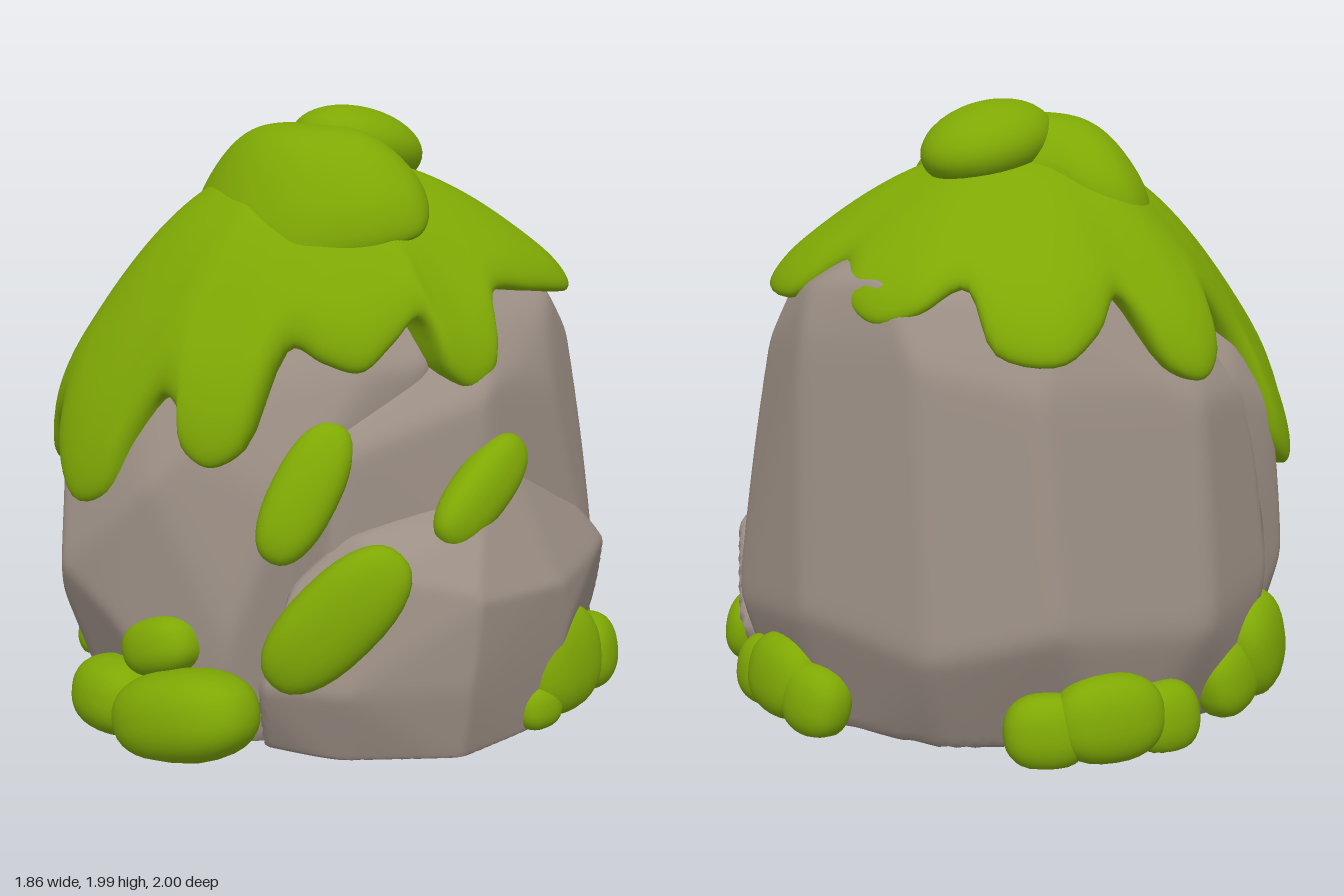
import * as THREE from 'three';
import { mergeVertices } from 'three/addons/utils/BufferGeometryUtils.js';
import { ConvexGeometry } from 'three/addons/geometries/ConvexGeometry.js';

const V = (a) => new THREE.Vector3(...a);

// Drop normals and uvs so that seams close, ready for reshaping
function welded(geo) {
  geo.deleteAttribute('normal');
  geo.deleteAttribute('uv');
  return mergeVertices(geo);
}

// Rock: a sphere pressed against the slightly shifted planes of a coarse hull, with softly worn edges
function rockGeometry(points) {
  const pts = points.map(V);
  const centre = pts.reduce((s, p) => s.add(p), new THREE.Vector3()).divideScalar(pts.length);
  const hull = new ConvexGeometry(pts).getAttribute('position');
  const planes = [];
  for (let i = 0; i < hull.count; i += 3) {
    const [a, b, c] = [0, 1, 2].map((k) => new THREE.Vector3().fromBufferAttribute(hull, i + k).sub(centre));
    const n = b.sub(a).cross(c.sub(a)).normalize();
    const d = n.dot(a) * (1 + 0.022 * Math.sin(i * 12.9));
    if (d > 0.01) planes.push(n.divideScalar(d));
  }
  const geo = welded(new THREE.IcosahedronGeometry(1, 34));
  const pos = geo.getAttribute('position');
  const p = new THREE.Vector3();
  for (let i = 0; i < pos.count; i++) {
    p.fromBufferAttribute(pos, i).normalize();
    let sum = 0;
    for (const n of planes) sum += Math.max(0, n.dot(p)) ** 100;
    p.multiplyScalar(1.015 * sum ** (-1 / 100)).add(centre);
    pos.setXYZ(i, p.x, Math.max(0, p.y), p.z);
  }
  geo.computeVertexNormals();
  return geo;
}

// Moss cap: a dome from an apex to a lobed rim, which swells and then rolls inward at the lip
function capGeometry(apex, rim, lip, power) {
  const curve = new THREE.CatmullRomCurve3(rim.map(V), true, 'centripetal');
  const cols = 180, rows = 40, top = V(apex);
  const edge = Array.from({ length: cols }, (_, i) => curve.getPoint(i / cols));
  const span = Math.round((cols / rim.length) * 1.5);
  const soft = edge.map((_, i) => {
    const s = new THREE.Vector3();
    for (let k = -span; k <= span; k++) s.add(edge[(i + k + cols) % cols]);
    return s.divideScalar(2 * span + 1);
  });
  const position = [], index = [];
  const r = new THREE.Vector3(), inward = new THREE.Vector3();
  for (let j = 0; j <= rows + 1; j++) {
    const s = Math.sin((Math.min(j, rows) / rows) * Math.PI / 2);
    for (let i = 0; i < cols; i++) {
      r.lerpVectors(soft[i], edge[i], s * s);
      const u = Math.max(0, (s - 0.84) / 0.16);
      const roll = j > rows ? lip * 2.5 : lip * (1 - Math.sqrt(Math.max(0, 1 - u * u)));
      const inset = roll - 0.06 * s ** 4;
      inward.set(top.x - r.x, 0, top.z - r.z).normalize();
      position.push(
        top.x + (r.x - top.x) * s + inward.x * inset,
        top.y + (r.y - top.y) * s ** power,
        top.z + (r.z - top.z) * s + inward.z * inset,
      );
      if (j <= rows) {
        const a = j * cols + i, b = j * cols + (i + 1) % cols;
        index.push(a, a + cols, b, b, a + cols, b + cols);
      }
    }
  }
  let geo = new THREE.BufferGeometry();
  geo.setAttribute('position', new THREE.Float32BufferAttribute(position, 3));
  geo.setIndex(index);
  geo = mergeVertices(geo);
  geo.computeVertexNormals();
  return geo;
}

// Moss pad: a plump ellipsoid stretched between two points and flattened along its outward side
function padGeometry(from, to, width, depth) {
  const a = V(from), b = V(to);
  const mid = a.clone().add(b).multiplyScalar(0.5);
  const u = b.clone().sub(a);
  const half = u.length() / 2;
  u.normalize();
  const out = new THREE.Vector3(mid.x, 0.15, mid.z);
  out.addScaledVector(u, -out.dot(u)).normalize();
  const side = new THREE.Vector3().crossVectors(u, out);
  const geo = welded(new THREE.SphereGeometry(1, 32, 20));
  const pos = geo.getAttribute('position');
  const plump = (c) => Math.sign(c) * Math.abs(c) ** 0.85;
  for (let i = 0; i < pos.count; i++) pos.setXYZ(i, plump(pos.getX(i)), plump(pos.getY(i)), plump(pos.getZ(i)));
  geo.scale(half, depth, width);
  geo.applyMatrix4(new THREE.Matrix4().makeBasis(u, out, side).setPosition(mid));
  for (let i = 0; i < pos.count; i++) pos.setY(i, Math.max(0, pos.getY(i)));
  geo.computeVertexNormals();
  return geo;
}

export function createModel() {
  const stone = new THREE.MeshStandardMaterial({ color: 0x9c8f85 });
  stone.name = 'stone';
  const moss = new THREE.MeshStandardMaterial({ color: 0x7fa804 });
  moss.name = 'moss';
  const group = new THREE.Group();
  group.name = 'mossyBoulder';
  const add = (name, geo, mat) => {
    const mesh = new THREE.Mesh(geo, mat);
    mesh.name = name;
    group.add(mesh);
  };

  // Three boulders leaning together
  add('frontRock', rockGeometry([
    [-0.6, -0.03, 0.48], [-0.27, -0.03, 0.7], [0.22, -0.03, 0.72], [0.35, -0.03, 0.52], [-0.75, -0.03, 0.1], [-0.6, -0.03, -0.3],
    [-0.79, 0.5, 0.45], [-0.55, 0.36, 0.7], [-0.3, 0.52, 0.9], [0.02, 0.3, 0.84], [0.3, 0.36, 0.72], [-0.83, 0.42, 0.12],
    [-0.78, 0.95, 0.38], [-0.42, 0.9, 0.78], [0.08, 0.82, 0.81], [0.4, 0.8, 0.57], [-0.77, 1.05, 0.1],
    [-0.68, 1.22, 0.26], [-0.22, 1.25, 0.63], [0.2, 1.15, 0.6], [0.48, 1.24, 0.28], [0.58, 1.22, 0.06],
    [-0.38, 1.56, 0.18], [0.25, 1.6, 0.18], [0, 1.7, 0], [-0.4, 1.5, -0.3], [0.42, 1.4, -0.1],
    [-0.7, 0.5, -0.3], [0.3, 0.4, -0.3], [0.35, -0.03, 0], [-0.5, 1.2, -0.4],
  ]), stone);
  add('backRock', rockGeometry([
    [-0.72, -0.03, -0.4], [-0.78, -0.03, 0.1], [-0.35, -0.03, -0.74], [0.1, -0.03, -0.84], [0.48, -0.03, -0.7], [0.72, -0.03, -0.3], [0.55, -0.03, 0.3],
    [-0.91, 0.36, -0.22], [-0.82, 0.42, 0.28], [-0.73, 0.4, -0.64], [-0.34, 0.32, -0.91], [0.1, 0.4, -0.97],
    [0.5, 0.36, -0.85], [0.72, 0.42, -0.58], [0.78, 0.4, 0], [0.52, 0.6, 0.44],
    [-0.81, 1.1, -0.15], [-0.72, 1.08, 0.26], [-0.63, 1.12, -0.6], [-0.24, 1.24, -0.84], [0.2, 1.2, -0.86],
    [0.5, 1.2, -0.7], [0.7, 0.97, -0.42], [0.74, 1.1, -0.02], [0.53, 0.95, 0.4],
    [-0.54, 1.42, -0.48], [-0.13, 1.44, -0.78], [0.25, 1.43, -0.75], [0.53, 1.39, -0.53], [0.58, 1.35, -0.1], [-0.58, 1.38, 0],
    [-0.3, 1.62, -0.28], [0.28, 1.62, -0.28], [0, 1.68, 0.1], [-0.08, 1.61, -0.48],
  ]), stone);
  add('lowSideRock', rockGeometry([
    [0.35, -0.03, 0.58], [0.6, -0.03, 0.5], [0.86, -0.03, 0.2], [0.86, -0.03, -0.2], [0.56, -0.03, -0.66], [0.25, -0.03, -0.4],
    [0.42, 0.25, 0.68], [0.68, 0.25, 0.54], [0.92, 0.25, 0.2], [0.91, 0.32, -0.25], [0.57, 0.25, -0.8],
    [0.43, 0.5, 0.57], [0.68, 0.6, 0.44], [0.93, 0.53, 0.18], [0.93, 0.5, -0.18], [0.73, 0.52, -0.66],
    [0.72, 0.85, -0.2], [0.82, 0.76, 0.04], [0.55, 0.7, 0.38], [0.68, 0.74, -0.46], [0.3, 0.7, 0],
  ]), stone);

  // Draping cap: drip tips and the notches between them, anticlockwise from the front
  add('mossCap', capGeometry([0, 1.82, 0.02], [
    [-0.4, 0.84, 0.84], [-0.27, 0.74, 0.89], [-0.13, 0.79, 0.87], [-0.06, 0.97, 0.8], [0.02, 1.11, 0.74], [0.1, 1.08, 0.74],
    [0.14, 0.96, 0.76], [0.23, 0.91, 0.73], [0.32, 0.97, 0.66], [0.34, 1.27, 0.46],
    [0.44, 1.23, 0.41], [0.53, 1.2, 0.32], [0.57, 1.28, 0.22], [0.6, 1.36, 0.13],
    [0.68, 1.2, 0.08], [0.71, 1.13, -0.02], [0.71, 1.18, -0.12], [0.61, 1.4, -0.2],
    [0.62, 1.39, -0.42], [0.58, 1.36, -0.64], [0.38, 1.36, -0.74], [0.18, 1.47, -0.67],
    [0.04, 1.37, -0.81], [-0.1, 1.33, -0.84], [-0.24, 1.37, -0.79], [-0.32, 1.44, -0.66],
    [-0.48, 1.26, -0.7], [-0.65, 1.23, -0.59], [-0.67, 1.31, -0.42], [-0.63, 1.4, -0.28],
    [-0.79, 1.19, -0.21], [-0.85, 1.14, -0.1], [-0.82, 1.19, 0.01], [-0.7, 1.34, 0.1], [-0.71, 1.17, 0.28],
    [-0.81, 0.86, 0.4], [-0.79, 0.75, 0.52], [-0.69, 0.77, 0.65], [-0.59, 0.92, 0.71], [-0.49, 0.97, 0.75],
  ], 0.105, 2.45), moss);
  add('upperMossCap', capGeometry([0, 1.93, 0.06], [
    [0, 1.4, 0.42], [0.2, 1.45, 0.37], [0.34, 1.53, 0.26], [0.44, 1.57, 0.13],
    [0.47, 1.6, 0], [0.38, 1.66, -0.11], [0.2, 1.71, -0.15], [0, 1.74, -0.2],
    [-0.2, 1.71, -0.15], [-0.38, 1.66, -0.11], [-0.47, 1.6, 0],
    [-0.44, 1.57, 0.13], [-0.34, 1.53, 0.26], [-0.2, 1.45, 0.37],
  ], 0.08, 4), moss);

  // Tilted tuft on the crown
  const tuft = new THREE.SphereGeometry(1, 32, 20);
  tuft.scale(0.2, 0.13, 0.25);
  tuft.rotateX(-0.25);
  tuft.translate(0, 1.845, -0.17);
  add('crownTuft', tuft, moss);

  // Pads on the side and clumps around the foot: from, to, width, depth
  const pads = {
    sidePad: [
      [[0.42, 0.63, 0.62], [0.46, 1.04, 0.36], 0.11, 0.08],
      [[0.5, 0.27, 0.69], [0.78, 0.69, 0.4], 0.14, 0.085],
      [[0.77, 0.69, 0.21], [0.75, 0.95, -0.17], 0.1, 0.075],
    ],
    frontClump: [
      [[-0.26, 0.1, 0.82], [0.09, 0.12, 0.84], 0.13, 0.14],
      [[-0.02, 0.06, 0.87], [0.49, 0.19, 0.77], 0.15, 0.16],
      [[-0.06, 0.26, 0.8], [0.22, 0.36, 0.76], 0.1, 0.1],
    ],
    rightSideClump: [
      [[-0.82, 0.02, 0.28], [-0.81, 0.36, 0.2], 0.17, 0.1],
      [[-0.84, 0.1, -0.07], [-0.81, 0.14, 0.2], 0.13, 0.09],
      [[-0.8, 0.07, 0.32], [-0.64, 0.07, 0.5], 0.1, 0.09],
    ],
    backCornerClump: [
      [[-0.87, 0.09, -0.18], [-0.8, 0.09, -0.42], 0.12, 0.09],
      [[-0.86, 0.13, -0.34], [-0.68, 0.13, -0.66], 0.14, 0.1],
      [[-0.74, 0.1, -0.55], [-0.55, 0.1, -0.75], 0.12, 0.09],
    ],
    backClump: [
      [[-0.03, 0.09, -0.92], [0.22, 0.11, -0.91], 0.12, 0.09],
      [[0.1, 0.14, -0.92], [0.42, 0.14, -0.85], 0.14, 0.1],
      [[0.3, 0.11, -0.86], [0.52, 0.11, -0.79], 0.12, 0.1],
    ],
    leftSideClump: [
      [[0.85, 0.18, -0.12], [0.78, 0.18, -0.53], 0.18, 0.1],
      [[0.81, 0.13, -0.44], [0.68, 0.13, -0.69], 0.13, 0.1],
      [[0.86, 0.07, -0.07], [0.86, 0.07, -0.26], 0.08, 0.065],
    ],
  };
  for (const [name, list] of Object.entries(pads)) {
    list.forEach((pad, i) => add(name + (i + 1), padGeometry(...pad), moss));
  }
  return group;
}
